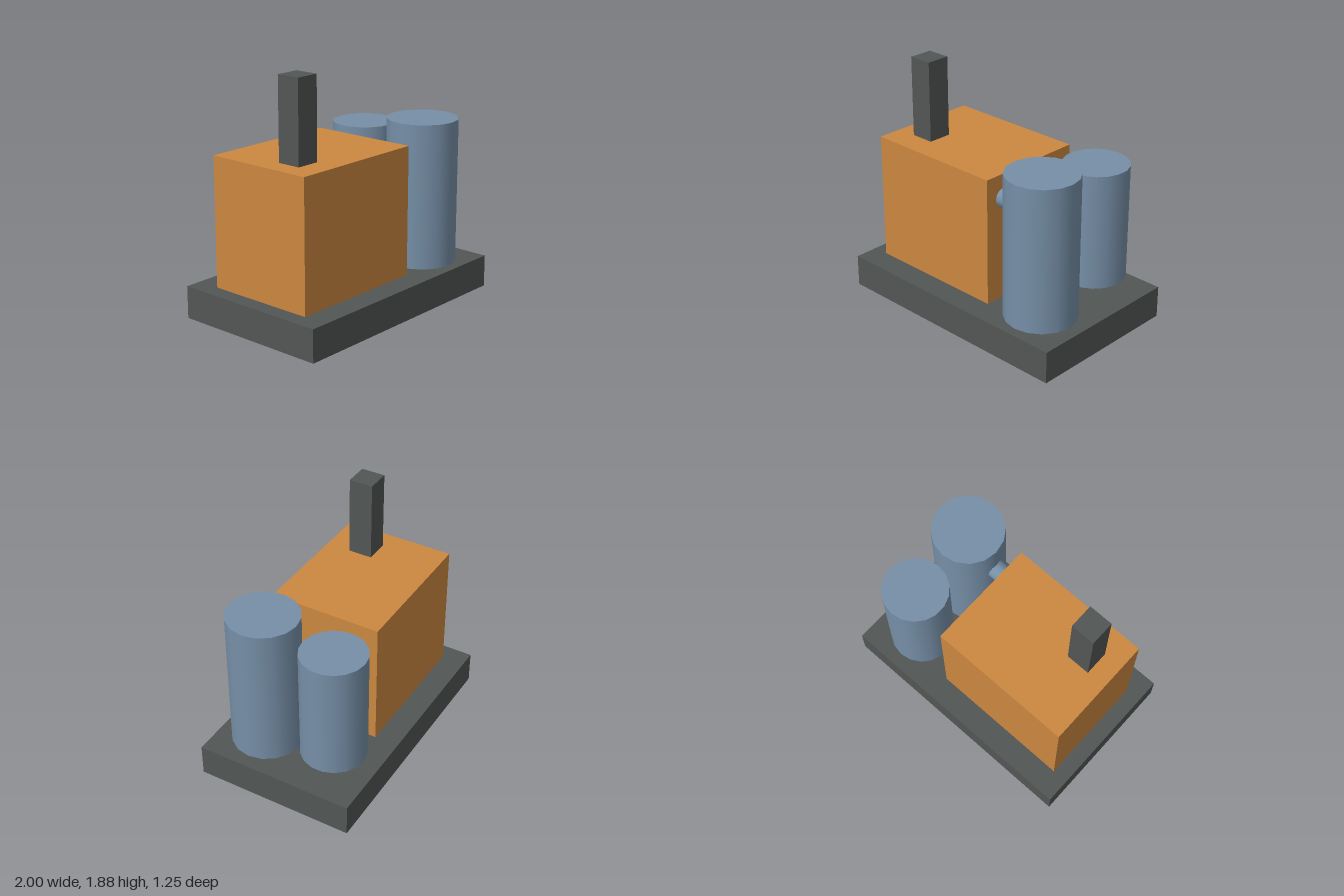
import * as THREE from 'three';

export function createModel() {
  const model = new THREE.Group();
  model.name = 'generatorUnit';

  const material = (name, color) => {
    const m = new THREE.MeshStandardMaterial({ color });
    m.name = name;
    return m;
  };
  const darkGrey = material('dark grey', 0x525655);
  const orange = material('orange', 0xcc8840);
  const steelBlue = material('steel blue', 0x768fa7);

  const add = (name, geometry, mat, x, y, z) => {
    const mesh = new THREE.Mesh(geometry, mat);
    mesh.name = name;
    mesh.position.set(x, y, z);
    model.add(mesh);
    return mesh;
  };

  // Base slab, housing and square chimney
  add('base', new THREE.BoxGeometry(2, 0.25, 1.25), darkGrey, 0, 0.125, 0);
  add('housing', new THREE.BoxGeometry(1.125, 1, 0.875), orange, -0.3125, 0.75, 0);
  add('chimney', new THREE.BoxGeometry(0.1875, 0.625, 0.1875), darkGrey, -0.625, 1.5625, 0.15);

  // Tall front tank and raised rear tank
  add('frontTank', new THREE.CylinderGeometry(0.275, 0.275, 1.125, 16), steelBlue, 0.625, 0.8125, 0.275);
  add('rearTank', new THREE.CylinderGeometry(0.25, 0.25, 0.9, 18), steelBlue, 0.625, 0.815, -0.3);

  // Pipe joining the housing to the front tank
  const pipe = add('connectingPipe', new THREE.CylinderGeometry(0.075, 0.075, 0.2, 12), steelBlue, 0.3, 1.065, 0.275);
  pipe.rotation.z = Math.PI / 2;

  return model;
}
